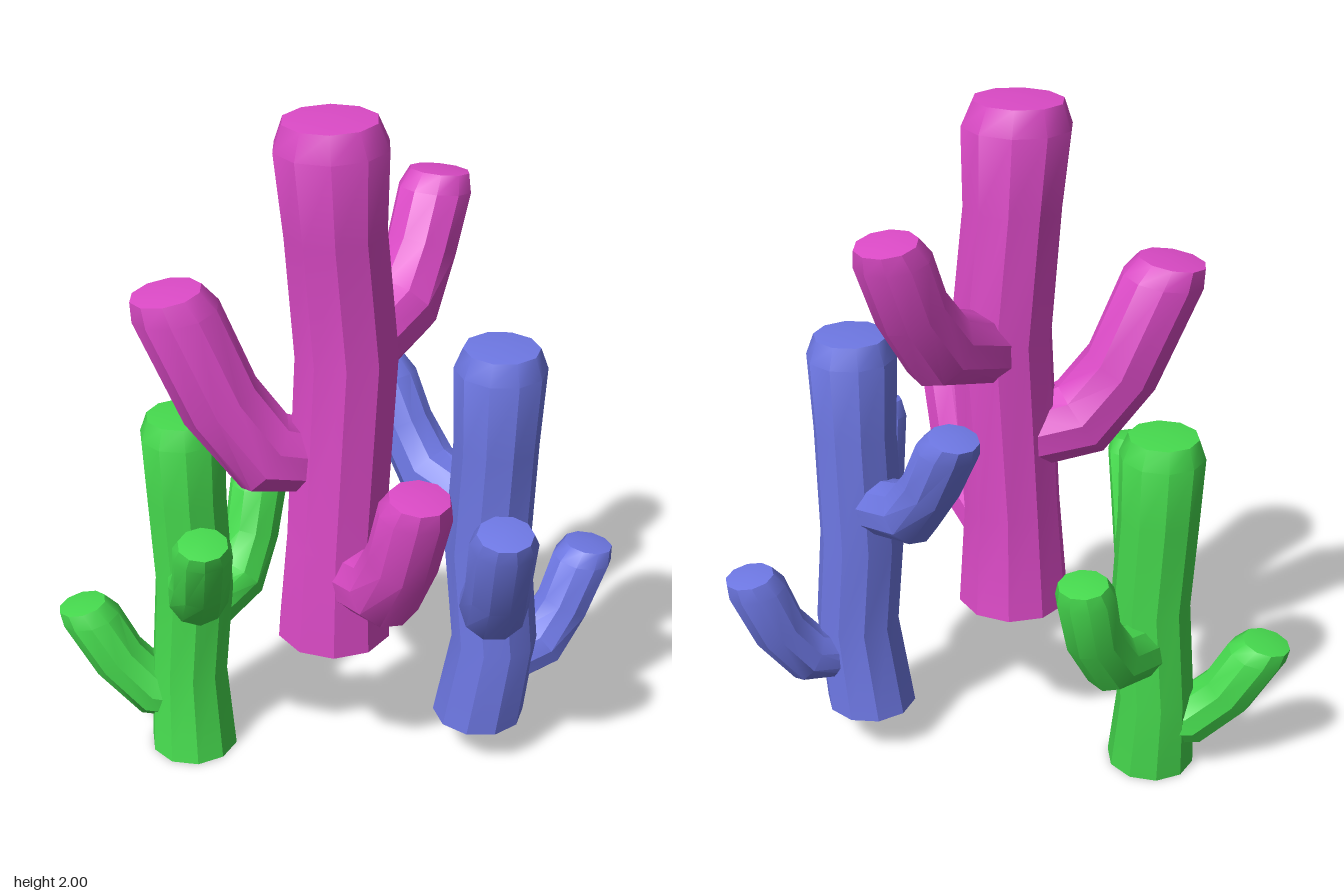
import * as THREE from 'three';
import { toCreasedNormals } from 'three/addons/utils/BufferGeometryUtils.js';

const SIDES = 10;
const UP = new THREE.Vector3(0, 1, 0);

// Ten-sided limb swept along points [x, y, z, radius]; the last point is the middle of the blunt tip
function limb(name, points, material, phase, uprightBase) {
  const pts = points.map(p => new THREE.Vector3(p[0], p[1], p[2]));
  const radii = points.map(p => p[3]);
  const n = pts.length - 1;
  const dir = i => pts[i + 1].clone().sub(pts[i]).normalize();
  const rings = pts.slice(0, n).map((p, i) => {
    const t = i > 0 ? dir(i - 1).add(dir(i)).normalize() : uprightBase ? UP : dir(0);
    return { p, t, r: radii[i] };
  });
  // Bevelled end, turned towards the sky: shoulder ring, then a smaller rim
  const r = radii[n], tip = pts[n], along = dir(n - 1);
  const t = along.clone().lerp(UP, 0.6).normalize();
  rings.push({ p: tip.clone().addScaledVector(along, -0.35 * r - 0.025), t, r });
  rings.push({ p: tip.clone().addScaledVector(t, -0.01), t, r: r * 0.82 });

  const pos = [], index = [];
  for (const ring of rings) {
    const q = new THREE.Quaternion().setFromUnitVectors(UP, ring.t);
    for (let k = 0; k < SIDES; k++) {
      const a = (k + phase) / SIDES * Math.PI * 2;
      const v = new THREE.Vector3(Math.sin(a), 0, Math.cos(a)).multiplyScalar(ring.r);
      pos.push(...v.applyQuaternion(q).add(ring.p).toArray());
    }
  }
  const bottom = rings.length * SIDES, top = bottom + 1, rim = bottom - SIDES;
  pos.push(...pts[0].toArray(), ...tip.toArray());
  for (let k = 0; k < SIDES; k++) {
    const m = (k + 1) % SIDES;
    for (let i = 0; i < rim; i += SIDES) {
      index.push(i + k, i + m, i + SIDES + m, i + k, i + SIDES + m, i + SIDES + k);
    }
    index.push(bottom, m, k, top, rim + k, rim + m);
  }
  const geo = new THREE.BufferGeometry();
  geo.setAttribute('position', new THREE.Float32BufferAttribute(pos, 3));
  geo.setIndex(index);
  const mesh = new THREE.Mesh(toCreasedNormals(geo, 0.61), material);
  mesh.name = name;
  return mesh;
}

// phase turns the ribs around the limb, in fractions of one side
function cactus(name, color, phase, trunk, arms) {
  const g = new THREE.Group();
  g.name = name;
  const material = new THREE.MeshStandardMaterial({ color });
  g.add(limb('trunk', trunk, material, phase, true));
  for (const [armName, path] of Object.entries(arms)) g.add(limb(armName, path, material, phase, false));
  return g;
}

export function createModel() {
  const model = new THREE.Group();
  model.name = 'cactusCluster';

  model.add(cactus('greenCactus', 0x46da4e, 0.25,
    [[-0.33, 0, 0.27, 0.131], [-0.353, 0.26, 0.25, 0.114], [-0.325, 0.56, 0.245, 0.116],
      [-0.34, 0.85, 0.245, 0.117], [-0.345, 1.11, 0.245, 0.122]],
    {
      rightArm: [[-0.37, 0.16, 0.27, 0.08], [-0.44, 0.175, 0.32, 0.087], [-0.53, 0.28, 0.37, 0.083], [-0.62, 0.467, 0.42, 0.087]],
      leftArm: [[-0.29, 0.6, 0.28, 0.08], [-0.2, 0.625, 0.37, 0.087], [-0.12, 0.74, 0.445, 0.081], [-0.05, 0.923, 0.51, 0.083]],
      backArm: [[-0.34, 0.43, 0.2, 0.085], [-0.34, 0.467, 0.04, 0.092], [-0.342, 0.59, -0.045, 0.083], [-0.345, 0.79, -0.1, 0.086]],
    }));

  model.add(cactus('pinkCactus', 0xdb4ac6, 0,
    [[0.08, 0.49, 0.105, 0.165], [0.09, 0.8, 0.11, 0.142], [0.09, 1.35, 0.063, 0.144],
      [0.085, 1.7, 0.105, 0.138], [0.08, 2.0, 0.122, 0.152]],
    {
      backArm: [[0.08, 1.31, 0.04, 0.1], [0.08, 1.39, -0.2, 0.112], [0.08, 1.53, -0.3, 0.1], [0.08, 1.735, -0.383, 0.102]],
      rightArm: [[0.04, 1.035, 0.11, 0.1], [-0.055, 1.075, 0.24, 0.12], [-0.145, 1.23, 0.31, 0.114], [-0.24, 1.555, 0.4, 0.117]],
      leftArm: [[0.14, 0.695, 0.11, 0.095], [0.32, 0.755, 0.195, 0.107], [0.395, 0.9, 0.23, 0.099], [0.463, 1.123, 0.26, 0.099]],
    }));

  model.add(cactus('blueCactus', 0x6e78e4, 0.5,
    [[0.385, 0.14, -0.21, 0.135], [0.425, 0.42, -0.215, 0.124], [0.385, 0.72, -0.22, 0.123],
      [0.4, 1.05, -0.215, 0.119], [0.405, 1.35, -0.21, 0.128]],
    {
      frontArm: [[0.43, 0.595, -0.17, 0.085], [0.5, 0.625, -0.075, 0.097], [0.555, 0.75, 0.003, 0.09], [0.617, 0.988, 0.087, 0.092]],
      backArm: [[0.43, 0.31, -0.25, 0.075], [0.485, 0.34, -0.37, 0.088], [0.52, 0.45, -0.445, 0.082], [0.557, 0.648, -0.512, 0.087]],
      rightArm: [[0.36, 0.83, -0.22, 0.08], [0.16, 0.88, -0.24, 0.092], [0.07, 1.0, -0.25, 0.083], [-0.027, 1.185, -0.26, 0.086]],
    }));

  return model;
}
